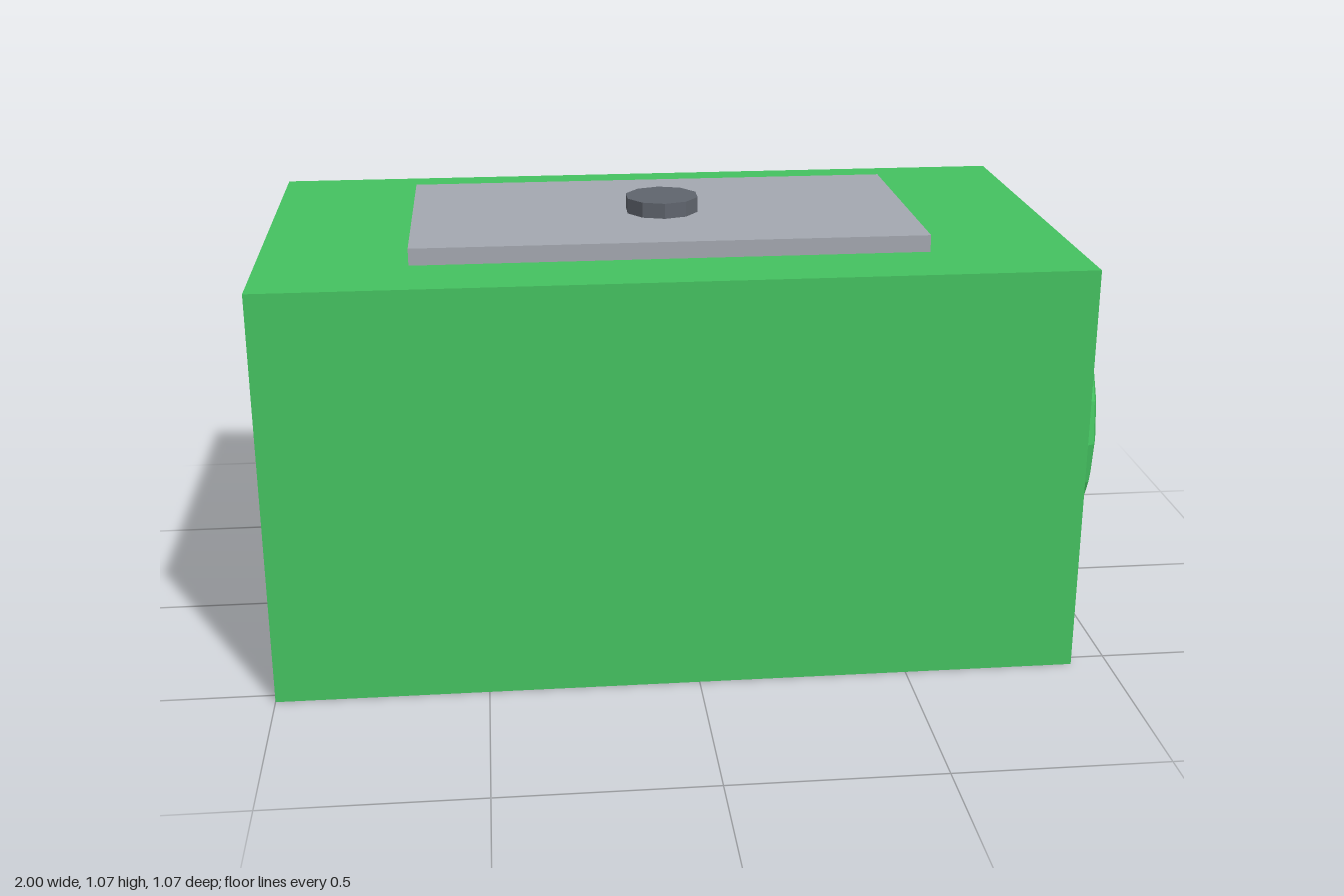
import * as THREE from 'three';

const paint = (color) => new THREE.MeshStandardMaterial({ color, flatShading: true });

export function createModel() {
  const model = new THREE.Group();
  model.name = 'boxUnit';
  const green = paint(0x45c361);

  const add = (name, geometry, material, x, y, z) => {
    const mesh = new THREE.Mesh(geometry, material);
    mesh.name = name;
    mesh.position.set(x, y, z);
    model.add(mesh);
    return mesh;
  };

  // Main block, standing on the floor
  add('body', new THREE.BoxGeometry(1.91, 0.996, 1.067), green, -0.045, 0.498, 0);

  // Lid plate and its ten-sided knob
  add('topPlate', new THREE.BoxGeometry(1.21, 0.05, 0.63), paint(0xa5a9b1), -0.045, 1.011, 0.025);
  add('topKnob', new THREE.CylinderGeometry(0.09, 0.09, 0.05, 10), paint(0x60656e), -0.043, 1.048, 0.037);

  // Round port on the +x end: faceted rim, partly sunk, around a dark disc
  const rim = add('portRim', new THREE.TorusGeometry(0.303, 0.054, 8, 20), green, 0.946, 0.504, 0.017);
  rim.rotation.y = Math.PI / 2;
  const disc = add('portDisc', new THREE.CylinderGeometry(0.275, 0.275, 0.03, 20), paint(0x34373c), 0.905, 0.504, 0.017);
  disc.rotation.z = -Math.PI / 2;

  return model;
}
